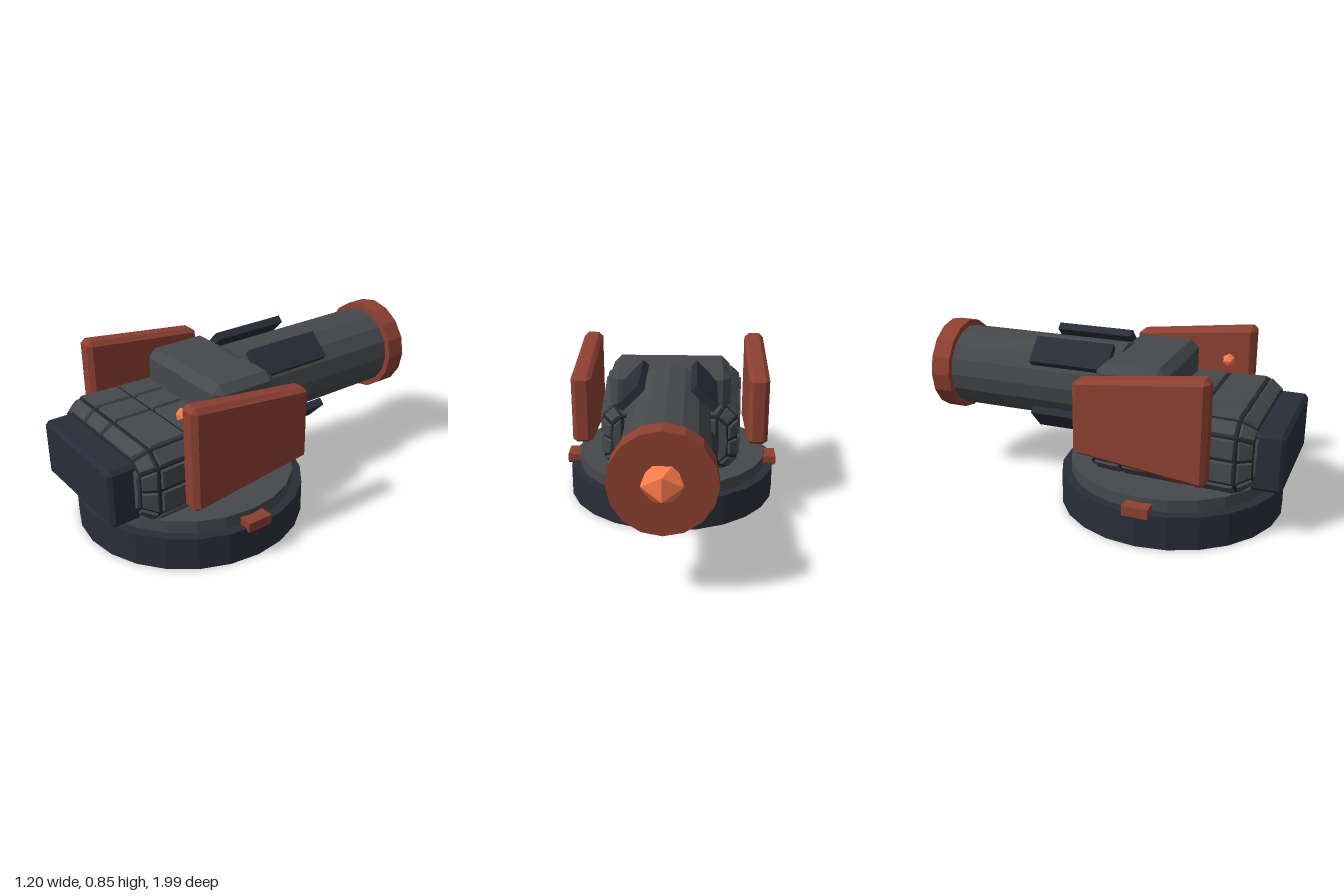
import * as THREE from 'three';
import { ConvexGeometry } from 'three/addons/geometries/ConvexGeometry.js';

const mat = (color) => new THREE.MeshStandardMaterial({ color, flatShading: true });

// Box with every edge cut at 45 degrees
function chamferBox(w, h, d, c) {
  const pts = [];
  const [x, y, z] = [w / 2, h / 2, d / 2];
  for (const sx of [-1, 1]) for (const sy of [-1, 1]) for (const sz of [-1, 1]) {
    pts.push(new THREE.Vector3(sx * x, sy * (y - c), sz * (z - c)));
    pts.push(new THREE.Vector3(sx * (x - c), sy * y, sz * (z - c)));
    pts.push(new THREE.Vector3(sx * (x - c), sy * (y - c), sz * z));
  }
  return new ConvexGeometry(pts);
}

function toGeometry(positions) {
  const g = new THREE.BufferGeometry();
  g.setAttribute('position', new THREE.Float32BufferAttribute(positions, 3));
  g.computeVertexNormals();
  return g;
}

function addFan(out, poly) {
  for (let i = 1; i < poly.length - 1; i++) {
    for (const p of [poly[0], poly[i], poly[i + 1]]) out.push(p.x, p.y, p.z);
  }
}

// Moves the corners of a polygon inwards along its edges
function inset(poly, amount) {
  const n = poly.length;
  return poly.map((p, i) => {
    const a = poly[(i + 1) % n].clone().sub(p).normalize();
    const b = poly[(i + n - 1) % n].clone().sub(p).normalize();
    return p.clone().addScaledVector(a.add(b), amount);
  });
}

// Raised bevelled plate standing on a polygon
function addPlate(out, poly, height) {
  const n = poly.length;
  const normal = new THREE.Vector3();
  for (let i = 0; i < n; i++) normal.add(poly[i].clone().cross(poly[(i + 1) % n]));
  normal.normalize();
  const low = inset(poly, 0.008);
  const high = inset(poly, 0.013).map((p) => p.addScaledVector(normal, height));
  for (let i = 0; i < n; i++) {
    const j = (i + 1) % n;
    addFan(out, [low[i], low[j], high[j], high[i]]);
  }
  addFan(out, high);
}

// Hull polygons: one chamfered cross-section carried along z, plus split end caps
function hullPolygons() {
  const section = [
    [0.33, 0.61], [0.01, 0.61], [-0.17, 0.61], [-0.33, 0.61],
    [-0.4, 0.545], [-0.4, 0.43], [-0.4, 0.31],
    [-0.335, 0.245], [-0.17, 0.245], [0.01, 0.245], [0.335, 0.245],
    [0.4, 0.31], [0.4, 0.43], [0.4, 0.545],
  ];
  // z, width scale, height scale
  const stations = [
    [0, 0.76, 0.72], [0.065, 0.9, 0.97], [0.21, 0.925, 1],
    [0.58, 0.97, 1], [0.79, 1, 1], [0.865, 0.88, 0.72],
  ];
  const rings = stations.map(([z, sx, sy]) =>
    section.map(([x, y]) => new THREE.Vector3(x * sx, 0.43 + (y - 0.43) * sy, z)));
  const polys = [];
  const n = section.length;
  for (let s = 0; s < rings.length - 1; s++) {
    const [a, b] = [rings[s], rings[s + 1]];
    for (let i = 0; i < n; i++) {
      const j = (i + 1) % n;
      polys.push([b[i], a[i], a[j], b[j]]);
    }
  }
  const cap = [[0, 1, 9, 10], [1, 2, 8, 9], [2, 3, 7, 8], [3, 4, 5, 6, 7], [10, 11, 12, 13, 0]];
  for (const ids of cap) {
    polys.push(ids.map((i) => rings[rings.length - 1][i]));
    polys.push(ids.map((i) => rings[0][i]).reverse());
  }
  return polys;
}

export function createModel() {
  const model = new THREE.Group();
  model.name = 'turret';
  const navy = mat(0x282d39);
  const grey = mat(0x46484c);
  const seam = mat(0x202328);
  const red = mat(0x8c4031);
  const glow = mat(0xff7d4d);

  const add = (name, geometry, material, x = 0, y = 0, z = 0) => {
    const mesh = new THREE.Mesh(geometry, material);
    mesh.name = name;
    mesh.position.set(x, y, z);
    model.add(mesh);
    return mesh;
  };

  // Round base and turntable
  add('base', new THREE.CylinderGeometry(0.585, 0.585, 0.172, 24), navy, 0, 0.086, 0.37);
  add('turntable', new THREE.CylinderGeometry(0.535, 0.535, 0.075, 24), grey, 0, 0.1985, 0.37);

  // Hull with raised armour plates over a dark core
  const core = [];
  const plates = [];
  for (const poly of hullPolygons()) {
    addFan(core, poly);
    addPlate(plates, poly, 0.012);
  }
  add('hullCore', toGeometry(core), seam);
  add('armourPlates', toGeometry(plates), grey);

  // Front block and upper housing
  add('frontBlock', chamferBox(0.64, 0.295, 0.16, 0.018), navy, 0, 0.408, 0.92);
  add('housing', chamferBox(0.64, 0.42, 0.36, 0.042), grey, 0, 0.58, 0.232);

  // Barrel pointing backwards, with a vertex at the top
  const tube = (radius, length) => new THREE.CylinderGeometry(radius, radius, length, 16).rotateX(Math.PI / 2);
  add('barrel', tube(0.215, 0.96), grey, 0, 0.6, -0.365);
  add('muzzleCollar', tube(0.245, 0.105), red, 0, 0.6, -0.87);
  add('muzzleCore', new THREE.IcosahedronGeometry(0.108, 0), glow, 0, 0.605, -0.898);

  // Four plates around the barrel
  for (let i = 0; i < 4; i++) {
    const angle = Math.PI / 4 + (i * Math.PI) / 2;
    const fin = add('barrelFin', new THREE.BoxGeometry(0.04, 0.15, 0.42), navy,
      0.253 * Math.cos(angle), 0.6 + 0.253 * Math.sin(angle), -0.122);
    fin.rotation.z = angle;
  }

  // Side shields, lower towards the back, and turntable lugs
  const shield = chamferBox(0.108, 0.53, 0.66, 0.024);
  const pos = shield.attributes.position;
  for (let i = 0; i < pos.count; i++) {
    const t = 0.5 - pos.getZ(i) / 0.66;
    pos.setY(i, pos.getY(i) * (1 - 0.31 * t));
  }
  shield.computeVertexNormals();
  for (const [side, s] of [['left', 1], ['right', -1]]) {
    add(side + 'Shield', shield, red, s * 0.469, 0.582, 0.35);
    add(side + 'Lug', new THREE.BoxGeometry(0.13, 0.05, 0.13), red, s * 0.533, 0.185, 0.37);
  }

  // Small sensor gem
  add('sensor', new THREE.IcosahedronGeometry(0.035, 0), glow, 0.277, 0.698, 0.577);

  return model;
}
